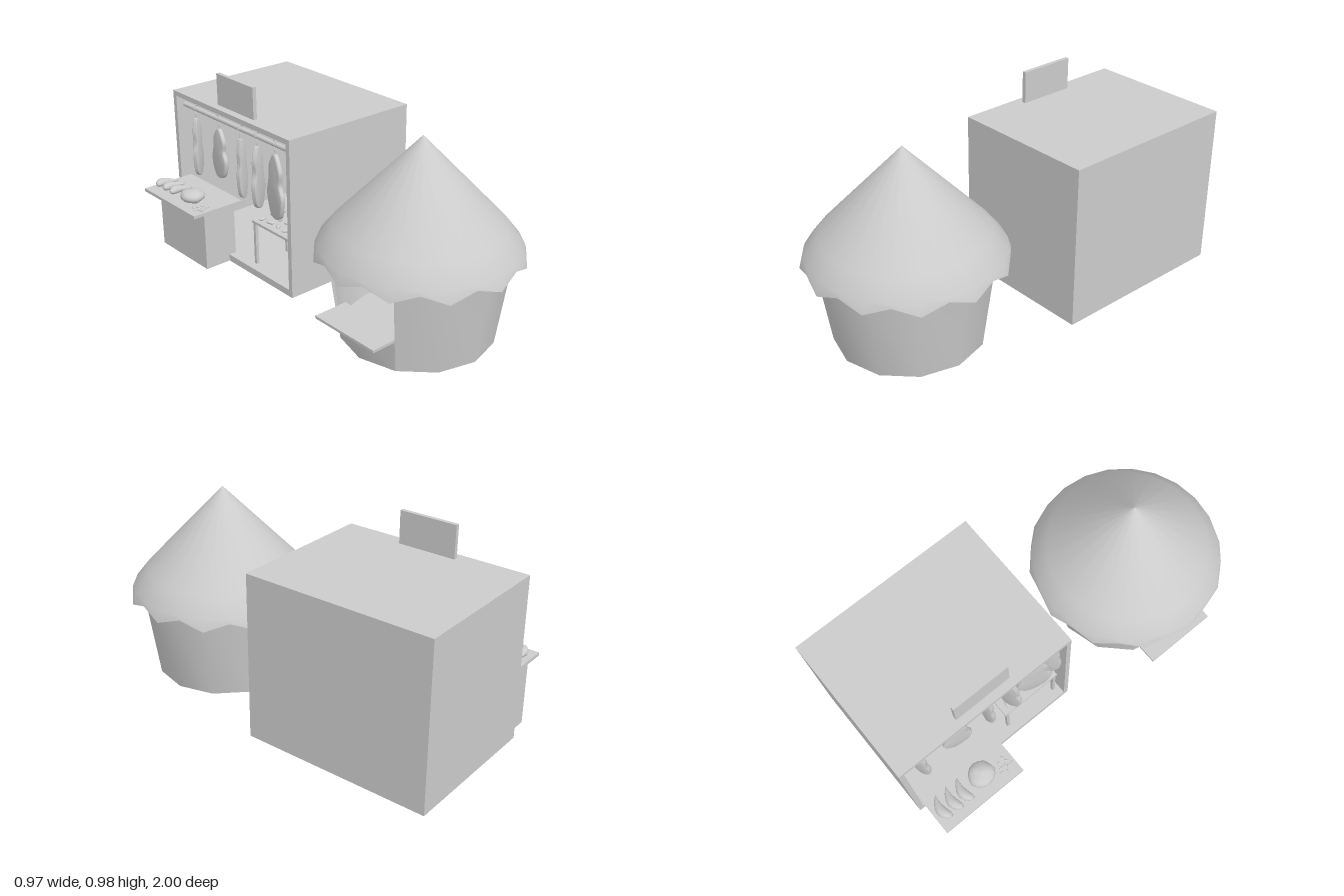
import * as THREE from 'three';
import { toCreasedNormals } from 'three/addons/utils/BufferGeometryUtils.js';

const grey = new THREE.MeshStandardMaterial({ color: 0xcccccc });
const greyThin = new THREE.MeshStandardMaterial({ color: 0xcccccc, side: THREE.DoubleSide });
const V2 = (pairs) => pairs.map(([x, y]) => new THREE.Vector2(x, y));

function add(parent, name, geometry, material = grey) {
  const mesh = new THREE.Mesh(geometry, material);
  mesh.name = name;
  parent.add(mesh);
  return mesh;
}

// Box given by its limits on each axis
function block(parent, name, [x0, x1], [y0, y1], [z0, z1]) {
  const mesh = add(parent, name, new THREE.BoxGeometry(x1 - x0, y1 - y0, z1 - z0));
  mesh.position.set((x0 + x1) / 2, (y0 + y1) / 2, (z0 + z1) / 2);
  return mesh;
}

// Sphere stretched to half sizes, tapered toward +x, bent in plan and rippled
function lump(parent, name, [x, y, z], [a, b, c], taper = 0, bend = 0, ripple = 0) {
  const geo = new THREE.SphereGeometry(1, 14, 10);
  const p = geo.attributes.position;
  for (let i = 0; i < p.count; i++) {
    const u = p.getX(i), v = p.getY(i), w = p.getZ(i);
    const k = (1 - taper * (u + 1) / 2) * (1 + ripple * Math.sin(5 * u + 4 * w));
    p.setXYZ(i, u * a, v * b * k, w * c * k + bend * u * u);
  }
  geo.computeVertexNormals();
  const mesh = add(parent, name, geo);
  mesh.position.set(x, y, z);
  return mesh;
}

// Tapered twelve-sided wall from angle start, with capped ends
function wallSection(parent, name, start, segments, top) {
  const r = (y) => 0.355 + 0.14 * y;
  const t = 0.014;
  const ring = V2([[r(0), 0], [r(top), top], [r(top) - t, top], [r(0) - t, 0]]);
  const length = segments * Math.PI / 6;
  const geo = new THREE.LatheGeometry([...ring, ring[0].clone()], segments, start, length);
  add(parent, name, toCreasedNormals(geo, Math.PI / 4));
  for (const phi of [start, start + length]) {
    const cap = add(parent, name + 'End', new THREE.ShapeGeometry(new THREE.Shape(ring)), greyThin);
    cap.rotation.y = phi - Math.PI / 2;
  }
}

function buildHut() {
  const hut = new THREE.Group();
  hut.name = 'roundHut';
  wallSection(hut, 'hutWall', -Math.PI / 3, 10, 0.47);
  wallSection(hut, 'hutLowerPanel', Math.PI * 4 / 3, 2, 0.155);

  const floor = add(hut, 'hutFloor', new THREE.CylinderGeometry(0.345, 0.345, 0.01, 12));
  floor.position.y = 0.03;

  // Serving counter through the opening
  block(hut, 'hutCounter', [-0.447, -0.27], [0.153, 0.166], [-0.185, 0.185]);

  // Thatched cone, its rim raised at every second corner
  const profile = V2([[0, 0.93], [0.375, 0.532], [0.445, 0.445], [0.462, 0.402],
    [0.475, 0.398], [0.457, 0.455], [0.387, 0.543], [0, 0.95]]);
  const roof = new THREE.LatheGeometry(profile, 24);
  const p = roof.attributes.position, n = profile.length;
  for (let i = 0; i < p.count; i++) {
    const j = i % n;
    if (Math.floor(i / n) % 2 && (j === 3 || j === 4)) {
      p.setXYZ(i, p.getX(i) * 0.975, p.getY(i) + 0.04, p.getZ(i) * 0.975);
    }
  }
  add(hut, 'hutRoof', toCreasedNormals(roof, 0.7));
  hut.position.z = 0.52;
  return hut;
}

function buildShop() {
  const shop = new THREE.Group();
  shop.name = 'shop';
  const X = [-0.26, 0.48], Y = [0.01, 0.82], Z = [-1, -0.06], t = 0.025;

  // Shell open toward -x, floor raised inside the walls
  block(shop, 'shopRoof', X, [Y[1] - t, Y[1]], Z);
  block(shop, 'shopBackWall', [X[1] - t, X[1]], Y, Z);
  block(shop, 'shopSideWall', X, Y, [Z[0], Z[0] + t]);
  block(shop, 'shopSideWall', X, Y, [Z[1] - t, Z[1]]);
  block(shop, 'shopFloor', X, [0.035, 0.045], Z);
  block(shop, 'shopSill', [X[0], X[0] + 0.01], [Y[0], 0.045], Z);
  block(shop, 'roofSign', [-0.22, -0.2], [0.82, 0.98], [-0.665, -0.375]);

  // Display stand in front of the opening
  block(shop, 'standBase', [-0.4, -0.22], [0.01, 0.33], [-0.965, -0.57]);
  block(shop, 'standTop', [-0.485, -0.2], [0.33, 0.346], [-0.975, -0.528]);

  // Food on the stand
  for (let i = 0; i < 3; i++) {
    const cut = lump(shop, 'meatCut', [-0.385, 0.37, -0.935 + i * 0.062],
      [0.065, 0.027, 0.035], 0.7, 0.022);
    cut.rotation.z = -0.1;
  }
  lump(shop, 'roast', [-0.38, 0.372, -0.69], [0.062, 0.034, 0.068], 0.1, 0, 0.06);
  for (let i = 0; i < 9; i++) {
    const a = i * 2.4, r = 0.014 * Math.sqrt(i);
    const scrap = lump(shop, 'scrap', [-0.415 + r * Math.cos(a), 0.35, -0.58 + r * Math.sin(a)],
      [0.011, 0.004, 0.005]);
    scrap.rotation.y = a;
  }

  // Inner table with small food pieces
  block(shop, 'innerTableTop', [-0.22, 0.0], [0.27, 0.283], [-0.42, -0.1]);
  for (const x of [-0.208, -0.012]) for (const z of [-0.405, -0.115]) {
    block(shop, 'innerTableLeg', [x - 0.008, x + 0.008], [0.045, 0.27], [z - 0.008, z + 0.008]);
  }
  for (let i = 0; i < 15; i++) {
    const piece = lump(shop, 'smallFood',
      [-0.18 + (i % 3) * 0.065, 0.292, -0.38 + Math.floor(i / 3) * 0.06], [0.024, 0.01, 0.013], 0.4);
    piece.rotation.y = i * 1.7;
  }

  // Hanging rail
  const rail = add(shop, 'hangingRail', new THREE.CylinderGeometry(0.012, 0.012, 0.9, 12));
  rail.rotation.x = Math.PI / 2;
  rail.position.set(-0.21, 0.74, -0.53);

  // Hooked slabs of meat: position along the rail, length, width, turn
  const hook = new THREE.CatmullRomCurve3([[-0.016, 0], [-0.008, 0.017], [0.01, 0.015], [0.016, -0.004],
    [0, -0.03], [0, -0.06], [0.012, -0.072], [0.018, -0.06]].map(([x, y]) => new THREE.Vector3(x, y, 0)));
  const slabs = [[-0.88, 0.3, 0.07, 0.5], [-0.68, 0.25, 0.14, 1.4], [-0.5, 0.3, 0.06, 0.3],
    [-0.37, 0.31, 0.1, 0.45], [-0.23, 0.32, 0.17, 1.3], [-0.12, 0.28, 0.07, 1.0]];
  for (const [z, length, width, turn] of slabs) {
    const item = new THREE.Group();
    item.name = 'hangingMeat';
    add(item, 'hook', new THREE.TubeGeometry(hook, 24, 0.004, 6));
    const outline = V2([[0.05, 0], [0.3, -0.18], [0.36, -0.4], [0.5, -0.68], [0.3, -0.95], [0, -1],
      [-0.32, -0.9], [-0.46, -0.62], [-0.3, -0.42], [-0.34, -0.2], [-0.1, 0]])
      .map((v) => new THREE.Vector2(v.x * width, v.y * length - 0.06));
    const shape = new THREE.Shape();
    shape.moveTo(outline[0].x, outline[0].y);
    shape.splineThru([...outline.slice(1), outline[0]]);
    const slab = new THREE.ExtrudeGeometry(shape, { depth: 0.012, bevelSize: 0.006,
      bevelThickness: 0.006, bevelSegments: 2, curveSegments: 30 });
    slab.translate(0, 0, -0.006);
    add(item, 'slab', toCreasedNormals(slab, 0.8));
    item.position.set(-0.21, 0.74, z);
    item.rotation.y = turn;
    shop.add(item);
  }
  return shop;
}

export function createModel() {
  const model = new THREE.Group();
  model.name = 'marketStalls';
  model.add(buildHut(), buildShop());
  return model;
}
